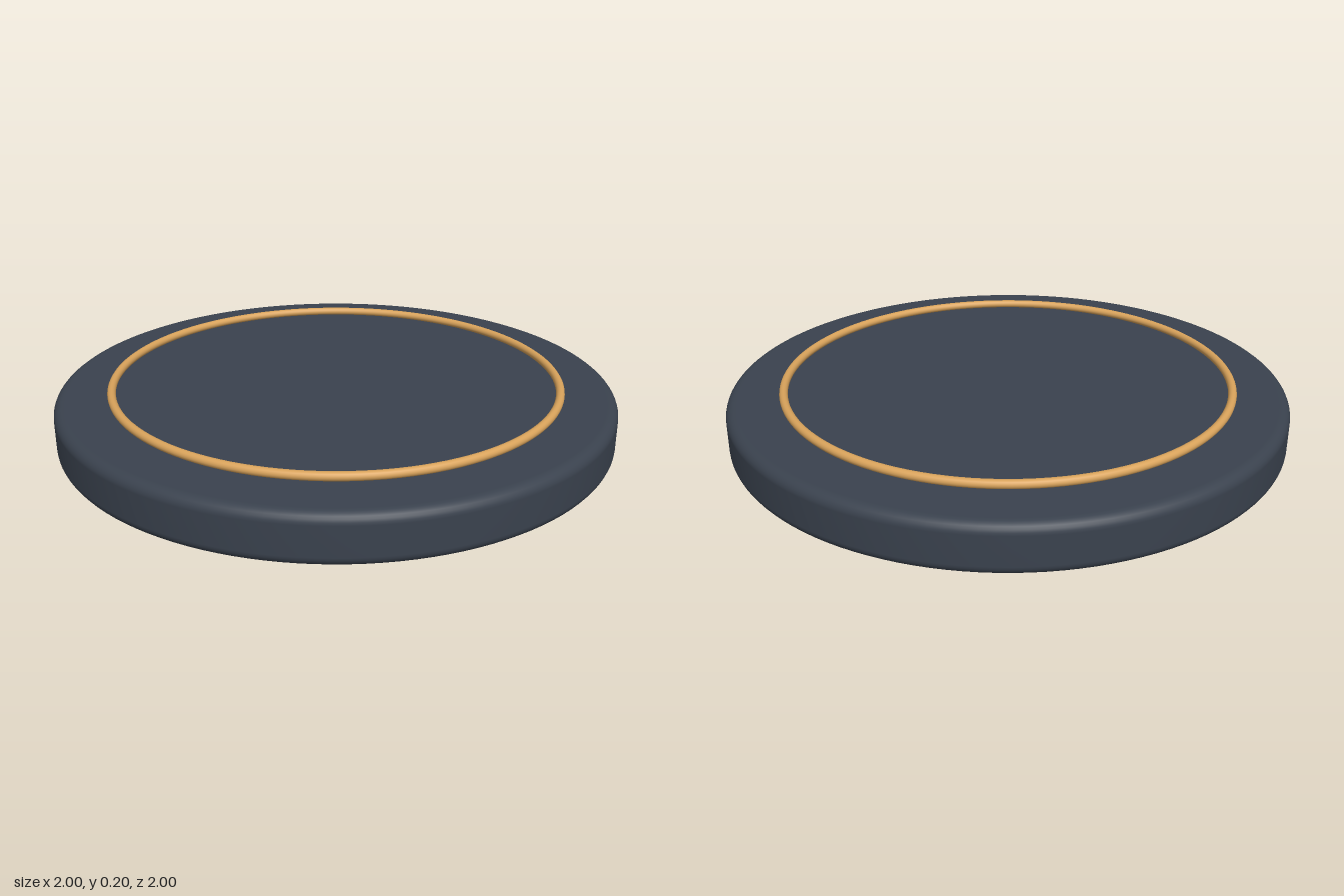
import * as THREE from 'three';

export function createModel() {
  const slate = new THREE.MeshStandardMaterial({ color: 0x3a424e });
  slate.name = 'slate';
  const amber = new THREE.MeshStandardMaterial({ color: 0xd9a35b });
  amber.name = 'amber';

  const radius = 1, height = 0.172, bevel = 0.035, steps = 6;
  const model = new THREE.Group();
  model.name = 'roundPlatform';

  // Disc profile with rounded rims, from the bottom centre to the top centre;
  // extra points beside each rim keep the flat faces evenly shaded
  const flat = radius - bevel - 0.004;
  const profile = [new THREE.Vector2(0, 0), new THREE.Vector2(flat, 0)];
  const addRim = (y, start) => {
    for (let i = 0; i <= steps; i++) {
      const a = start + (i / steps) * Math.PI / 2;
      profile.push(new THREE.Vector2(radius - bevel + bevel * Math.cos(a), y + bevel * Math.sin(a)));
    }
  };
  addRim(bevel, -Math.PI / 2);
  addRim(height - bevel, 0);
  profile.push(new THREE.Vector2(flat, height), new THREE.Vector2(0, height));
  const disc = new THREE.Mesh(new THREE.LatheGeometry(profile, 128), slate);
  disc.name = 'disc';
  model.add(disc);

  // Trim ring resting on the top face
  const ring = new THREE.Mesh(new THREE.TorusGeometry(0.8, 0.015, 16, 128), amber);
  ring.name = 'trimRing';
  ring.rotation.x = -Math.PI / 2;
  ring.position.y = 0.19;
  model.add(ring);

  return model;
}
